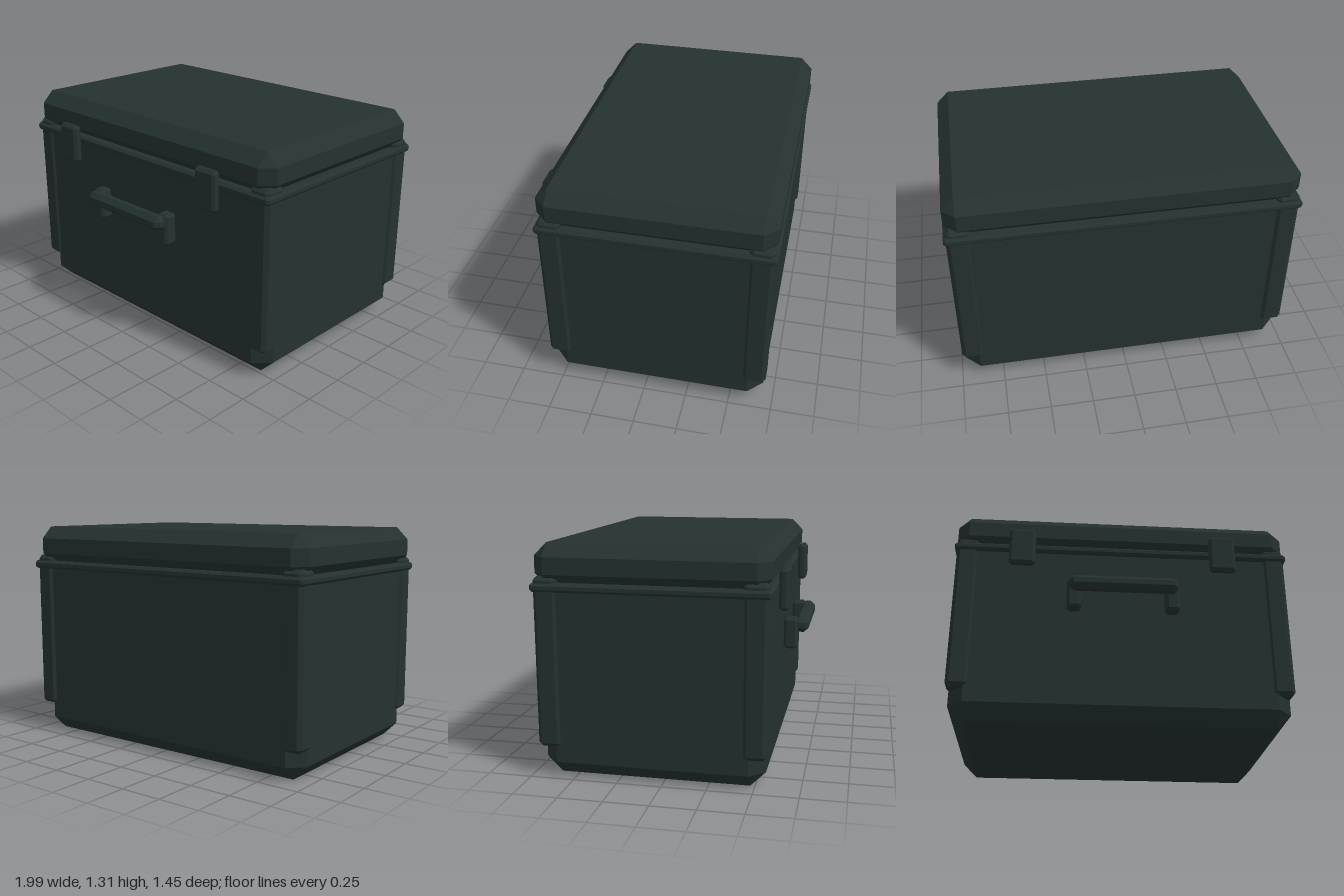
import * as THREE from 'three';
import { ConvexGeometry } from 'three/addons/geometries/ConvexGeometry.js';

const shell = new THREE.MeshStandardMaterial({ color: 0x253131 });
shell.name = 'darkGreenShell';

// Box with every edge chamfered, given by its [min, max] along each axis
function chamferBox(name, xs, ys, zs, bevel) {
  const ranges = [xs, ys, zs];
  const centre = ranges.map(([a, b]) => (a + b) / 2);
  const half = ranges.map(([a, b]) => (b - a) / 2);
  const points = [];
  for (const sx of [-1, 1]) for (const sy of [-1, 1]) for (const sz of [-1, 1]) {
    const sign = [sx, sy, sz];
    for (let face = 0; face < 3; face++) {
      const p = sign.map((s, i) => s * (half[i] - (i === face ? 0 : bevel)));
      points.push(new THREE.Vector3(...p));
    }
  }
  const mesh = new THREE.Mesh(new ConvexGeometry(points), shell);
  mesh.name = name;
  mesh.position.set(...centre);
  return mesh;
}

export function createModel() {
  const model = new THREE.Group();
  model.name = 'storageCase';

  // Main tub, the rim around its mouth, and the lid
  model.add(
    chamferBox('body', [-0.97, 0.97], [0, 1.14], [-0.69, 0.56], 0.086),
    chamferBox('rim', [-0.997, 0.997], [1.047, 1.095], [-0.72, 0.585], 0.014),
    chamferBox('lid', [-0.99, 0.99], [1.07, 1.308], [-0.712, 0.58], 0.072),
  );

  // Corner guards
  const guardZ = { front: [0.437, 0.572], back: [-0.706, -0.571] };
  for (const side of [-1, 1]) {
    const xs = side > 0 ? [0.853, 0.985] : [-0.985, -0.853];
    for (const end of ['front', 'back']) {
      model.add(chamferBox(end + 'CornerGuard', xs, [0.175, 1.13], guardZ[end], 0.022));
    }
  }

  // Latches on the front
  for (const x of [-0.595, 0.595]) {
    model.add(chamferBox('latch', [x - 0.077, x + 0.077], [0.933, 1.166], [0.587, 0.642], 0.016));
  }

  // Carrying handle: two mounts and a faceted grip
  const handle = new THREE.Group();
  handle.name = 'handle';
  for (const x of [-0.285, 0.285]) {
    handle.add(chamferBox('handleMount', [x - 0.041, x + 0.041], [0.643, 0.828], [0.583, 0.665], 0.015));
  }
  handle.add(chamferBox('handleGrip', [-0.315, 0.315], [0.741, 0.826], [0.64, 0.726], 0.027));
  model.add(handle);

  return model;
}
